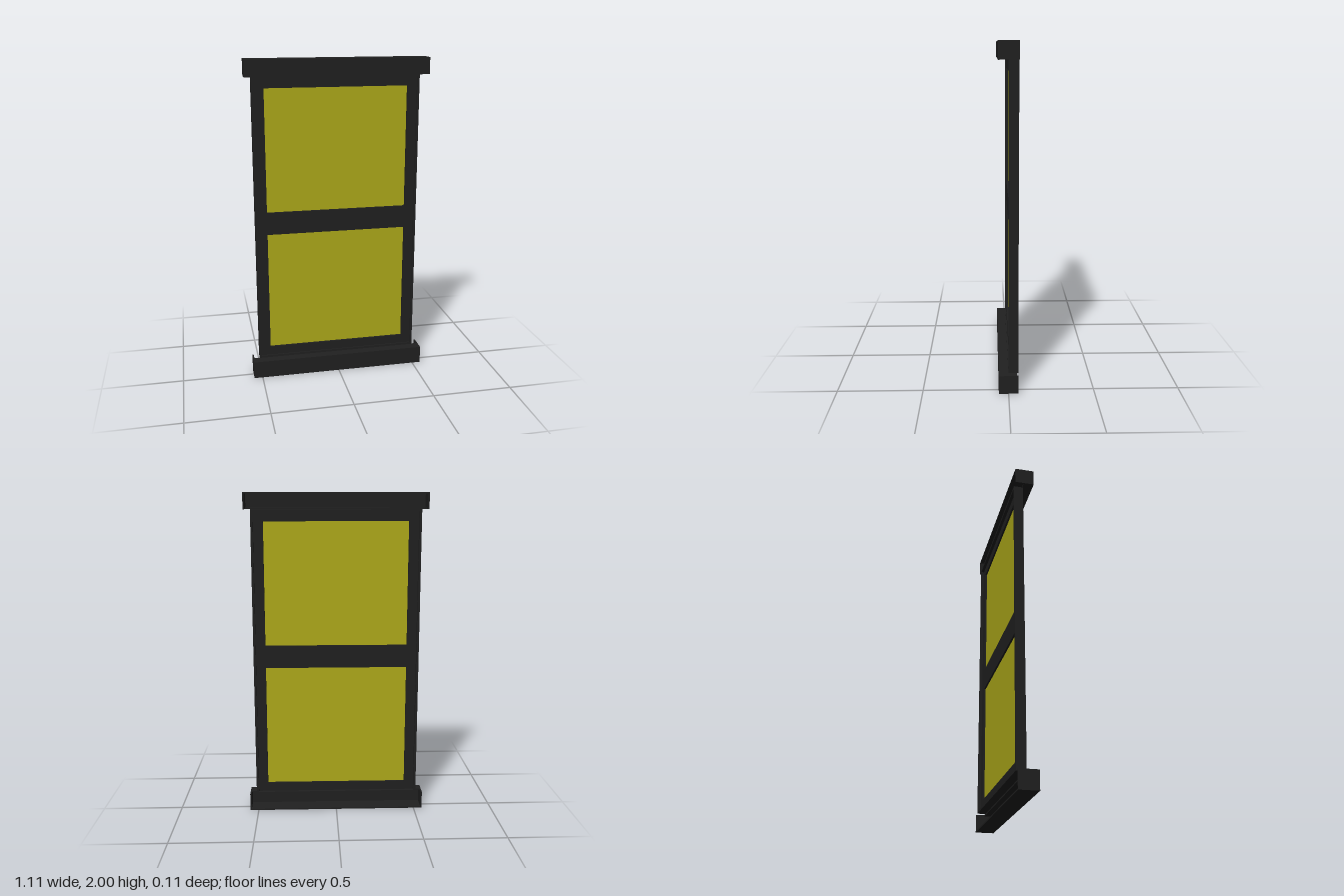
import * as THREE from 'three';

export function createModel() {
  const model = new THREE.Group();
  const dark = new THREE.MeshStandardMaterial({ color: 0x202020 });
  const yellow = new THREE.MeshStandardMaterial({ color: 0xaeaa1a });

  // Box given by its limits on each axis
  function box(parent, name, x0, x1, y0, y1, z0, z1, material = dark) {
    const mesh = new THREE.Mesh(new THREE.BoxGeometry(x1 - x0, y1 - y0, z1 - z0), material);
    mesh.position.set((x0 + x1) / 2, (y0 + y1) / 2, (z0 + z1) / 2);
    mesh.name = name;
    parent.add(mesh);
  }

  function group(name) {
    const g = new THREE.Group();
    g.name = name;
    model.add(g);
    return g;
  }

  const W = 0.553, D = 0.057, T = 0.008; // trim half width, half depth, wall
  const F = 0.51, bottom = 0.11, top = 1.9; // frame half width and height

  // Lintel and sill: thin trim open at the back, mirrored top to bottom
  function trim(name, outer, inner) {
    const g = group(name);
    const dir = Math.sign(inner - outer);
    const lo = Math.min(outer, inner), hi = Math.max(outer, inner);
    const slab = (part, y, z0) =>
      box(g, part, -W, W, Math.min(y, y + dir * T), Math.max(y, y + dir * T), z0, D);
    slab('outerPanel', outer, -D);
    slab('innerPanel', inner - dir * T, -0.005);
    box(g, 'frontPanel', -W, W, lo, hi, D - T, D);
    box(g, 'rightEnd', -W, -W + T, lo, hi, -D, D);
    box(g, 'leftEnd', W - T, W, lo, hi, -D, D);
  }
  trim('lintel', 2, top);
  trim('sill', 0, bottom);

  // Outer casing around both sashes
  const casing = group('casing');
  const C = 0.014;
  box(casing, 'rightJamb', -F, -F + C, bottom, top, -D, 0);
  box(casing, 'leftJamb', F - C, F, bottom, top, -D, 0);
  box(casing, 'head', -F + C, F - C, top - C, top, -D, 0);
  box(casing, 'base', -F + C, F - C, bottom, bottom + C, -D, 0);

  // Two sashes, each a rectangular ring with a pane
  const G = 0.437;
  function sash(name, y0, y1, pane0, pane1) {
    const g = group(name);
    const rect = (path, x, a, b) =>
      path.moveTo(-x, a).lineTo(x, a).lineTo(x, b).lineTo(-x, b).closePath();
    const shape = rect(new THREE.Shape(), F - C, y0, y1) || new THREE.Shape();
    shape.holes.push(rect(new THREE.Path(), G, pane0, pane1));
    const geometry = new THREE.ExtrudeGeometry(shape, { depth: 0.03, bevelEnabled: false });
    geometry.translate(0, 0, -0.038);
    const ring = new THREE.Mesh(geometry, dark);
    ring.name = 'sashFrame';
    g.add(ring);
    box(g, 'pane', -G, G, pane0, pane1, -0.027, -0.021, yellow);
  }
  sash('lowerSash', bottom + C, 1.005, 0.18, 0.935);
  sash('upperSash', 1.005, top - C, 1.075, 1.83);

  return model;
}
